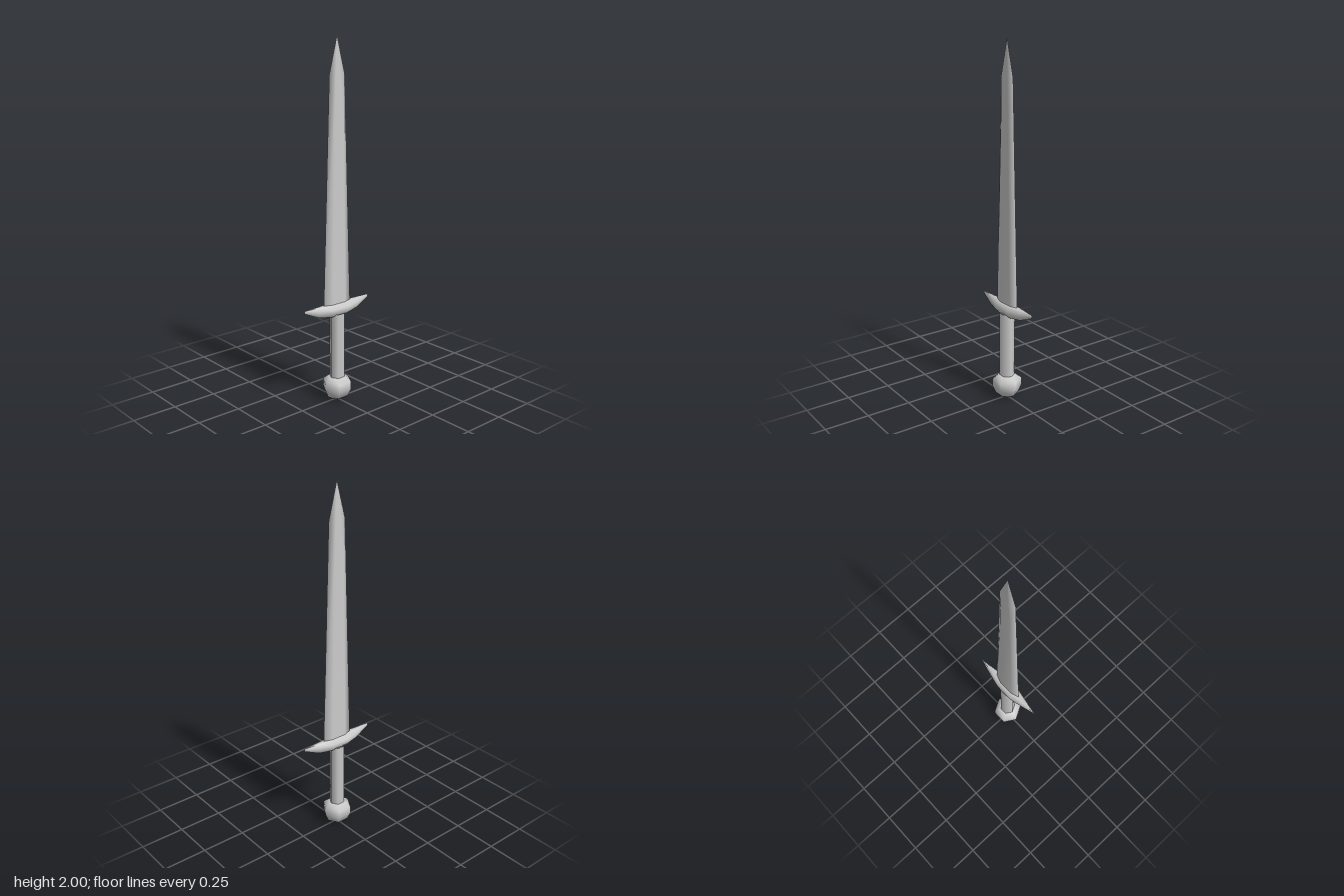
import * as THREE from 'three';

const material = new THREE.MeshStandardMaterial({ color: 0xcccccc, side: THREE.DoubleSide });

function addPart(group, name, geometry) {
  const mesh = new THREE.Mesh(geometry, material);
  mesh.name = name;
  group.add(mesh);
}

// Skins a series of closed rings with equal point counts, sharing vertices for smooth normals.
function loft(rings) {
  const n = rings[0].length;
  const index = [];
  for (let j = 0; j < rings.length - 1; j++) {
    for (let i = 0; i < n; i++) {
      const a = j * n + i, b = j * n + (i + 1) % n;
      index.push(a, b, b + n, a, b + n, a + n);
    }
  }
  const geometry = new THREE.BufferGeometry();
  geometry.setAttribute('position', new THREE.Float32BufferAttribute(rings.flat(2), 3));
  geometry.setIndex(index);
  geometry.computeVertexNormals();
  return geometry;
}

// Six-sided blade section: sharp edges at +-w, flat faces of half width c and half depth d.
const bladeRing = (edgeY, w, faceY, c, d) => [
  [w, edgeY, 0], [c, faceY, -d], [-c, faceY, -d],
  [-w, edgeY, 0], [-c, faceY, d], [c, faceY, d],
];

// Eight-sided guard section at x, from top to bottom, with half depth d.
const guardRing = (x, top, bottom, d) => {
  const h = top - bottom;
  const hi = top - h * 0.35, lo = bottom + h * 0.3;
  return [
    [x, top, d * 0.5], [x, hi, d], [x, lo, d], [x, bottom, d * 0.5],
    [x, bottom, -d * 0.5], [x, lo, -d], [x, hi, -d], [x, top, -d * 0.5],
  ];
};

// Six-sided turned part with corners on the x axis.
const turned = (profile) => new THREE.LatheGeometry(
  profile.map(([r, y]) => new THREE.Vector2(r, y)), 6, Math.PI / 2);

export function createModel() {
  const group = new THREE.Group();
  group.name = 'sword';

  // Tapered blade, with its faces ending below the shoulders of the point
  addPart(group, 'blade', loft([
    bladeRing(0.55, 0.095, 0.55, 0.045, 0.017),
    bladeRing(1.8, 0.053, 1.6, 0.03, 0.017),
    bladeRing(2, 0, 2, 0, 0),
  ]));

  // Crossguard, mirrored about the middle and drawn out to thin tips
  const half = [
    [0.23, 0.568, 0.553, 0],
    [0.135, 0.567, 0.511, 0.02],
    [0.055, 0.566, 0.498, 0.036],
  ];
  addPart(group, 'crossguard', loft([
    ...half.map(([x, t, b, d]) => guardRing(-x, t, b, d)),
    ...half.slice().reverse().map(([x, t, b, d]) => guardRing(x, t, b, d)),
  ]));

  // Grip
  addPart(group, 'grip', turned([[0.043, 0.1], [0.043, 0.51]]));

  // Rounded pommel
  addPart(group, 'pommel', turned([
    [0, 0], [0.042, 0.01], [0.065, 0.025], [0.083, 0.065],
    [0.083, 0.11], [0.05, 0.135], [0, 0.137],
  ]));

  return group;
}
